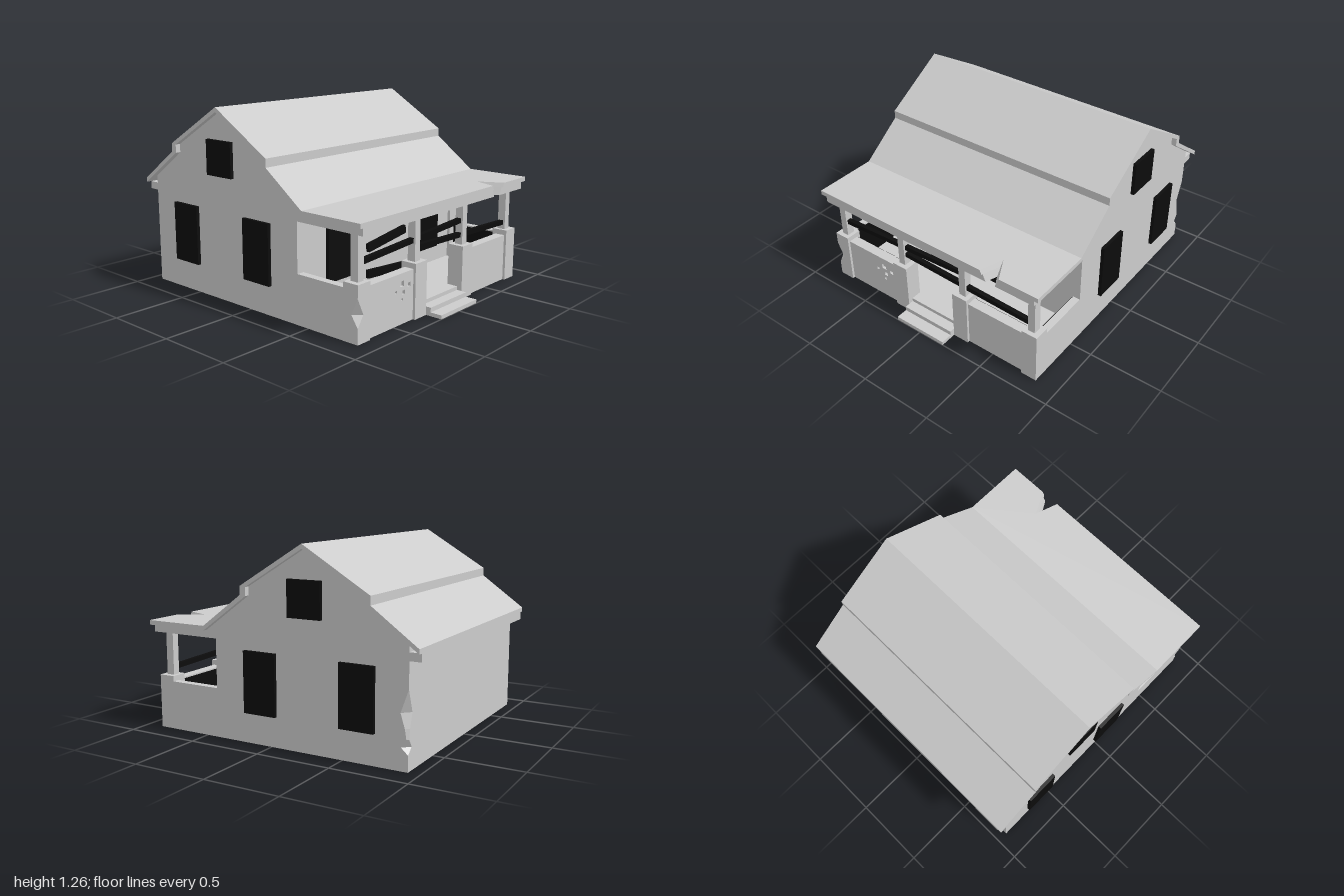
import * as THREE from 'three';

const grey = new THREE.MeshStandardMaterial({ color: 0xcccccc, flatShading: true, side: THREE.DoubleSide });
const black = new THREE.MeshStandardMaterial({ color: 0x0c0c0c, flatShading: true });

export function createModel() {
  const house = new THREE.Group();
  house.name = 'abandonedHouse';

  const add = (name, geometry, material = grey) => {
    const mesh = new THREE.Mesh(geometry, material);
    mesh.name = name;
    house.add(mesh);
    return mesh;
  };
  // Box given by its limits on each axis
  const box = (name, [x0, x1], [y0, y1], [z0, z1], material) => {
    const mesh = add(name, new THREE.BoxGeometry(x1 - x0, y1 - y0, z1 - z0), material);
    mesh.position.set((x0 + x1) / 2, (y0 + y1) / 2, (z0 + z1) / 2);
    return mesh;
  };
  const shapeOf = (pts) => new THREE.Shape(pts.map(([a, b]) => new THREE.Vector2(a, b)));
  // Shape drawn in (z, y), to be turned to face along x
  const sideShape = (pts) => shapeOf(pts.map(([z, y]) => [-z, y]));
  // Quads between successive rings, with an optional top cap
  const loft = (rings, closed) => {
    const pos = [];
    const n = rings[0].length;
    for (let r = 0; r + 1 < rings.length; r++) {
      for (let i = 0; i < (closed ? n : n - 1); i++) {
        const j = (i + 1) % n;
        const a = rings[r][i], b = rings[r][j], c = rings[r + 1][j], d = rings[r + 1][i];
        pos.push(...a, ...b, ...c, ...a, ...c, ...d);
      }
    }
    const top = rings[rings.length - 1];
    if (closed) for (let i = 1; i + 1 < n; i++) pos.push(...top[0], ...top[i], ...top[i + 1]);
    const g = new THREE.BufferGeometry();
    g.setAttribute('position', new THREE.Float32BufferAttribute(pos, 3));
    g.computeVertexNormals();
    return g;
  };

  // House walls, hollow and open below, with a crumbled rear corner
  const W = 0.845, BACK = -0.925, FRONT = 0.415;
  const chips = [[0.1, 0], [0.14, 0.045], [0.19, 0.012], [0.25, 0.022], [0.34, 0.05], [0.48, 0]];
  const gableTop = [[0.485, 0.69], [0.155, 0.93], [0.155, 0.985], [-0.25, 1.23],
    [-0.66, 0.985], [-0.66, 0.93], [BACK, 0.74]];
  const gable = (edge) => new THREE.ShapeGeometry(sideShape(
    [[BACK, 0], ...edge, [FRONT, 0.69], ...gableTop].length ?
      [[FRONT, 0], [FRONT, 0.69], ...gableTop, ...edge, [BACK, 0]] : [])).rotateY(Math.PI / 2);
  add('leftGableWall', gable(chips.map(([y, c]) => [BACK + c, y]).reverse())).position.x = W;
  add('rightGableWall', gable([])).position.x = -W;
  add('backWall', new THREE.ShapeGeometry(shapeOf(
    [[-W, 0], [W, 0], ...chips.map(([y, c]) => [W - c, y]), [W, 0.74], [-W, 0.74]]))).position.z = BACK;
  add('brokenCorner', loft(chips.map(([y, c]) => [[W, y, BACK + c], [W - c, y, BACK]]), false));
  add('frontWall', new THREE.PlaneGeometry(2 * W, 0.73)).position.set(0, 0.365, 0.395);

  // Stepped gable roof
  const roof = [[0.485, 0.72], [0.195, 0.935], [0.195, 0.99], [-0.25, 1.26], [-0.7, 0.99], [-0.7, 0.935],
    [-1, 0.72], [-1, 0.69], [-0.66, 0.93], [-0.66, 0.985], [-0.25, 1.23],
    [0.155, 0.985], [0.155, 0.93], [0.485, 0.69]];
  add('mainRoof', new THREE.ExtrudeGeometry(sideShape(roof), { depth: 1.76, bevelEnabled: false })
    .rotateY(Math.PI / 2).translate(-0.88, 0, 0));
  box('rearSoffit', [-W, W], [0.64, 0.69], [-1, BACK]);

  // Flat porch roof and ceiling, with a tapering bite out of the front edge
  const porchSlab = (name, halfWidth, z0, z1, y0, y1, taper) => {
    const plan = shapeOf([[-halfWidth, -z1], [0.462, -z1], [0.517, -0.77], [0.602, -z1],
      [halfWidth, -z1], [halfWidth, -z0], [-halfWidth, -z0]]);
    const g = new THREE.ExtrudeGeometry(plan, { depth: y1 - y0, bevelEnabled: false })
      .rotateX(-Math.PI / 2).translate(0, y0, 0);
    const p = g.attributes.position;
    for (let i = 0; i < p.count; i++) {
      const x = p.getX(i), z = p.getZ(i);
      if (Math.abs(x - 0.53) > 0.08 || z < 0.7) continue;
      const f = p.getY(i) > (y0 + y1) / 2 ? taper[1] : taper[0];
      p.setX(i, 0.53 + (x - 0.53) * f);
      p.setZ(i, z1 - (z1 - z) * f);
    }
    g.computeVertexNormals();
    add(name, g);
  };
  porchSlab('porchRoof', 0.88, 0.485, 0.93, 0.69, 0.72, [0.8, 1]);
  porchSlab('porchCeiling', W, FRONT, 0.92, 0.64, 0.69, [0.5, 0.8]);

  // Porch floor and steps
  box('porchFloor', [-0.76, 0.76], [0.055, 0.08], [0.395, 0.8]);
  [[0.025, 0.92, 1], [0.055, 0.85, 0.92], [0.08, 0.78, 0.85]].forEach(([h, z0, z1]) =>
    box('step', [-0.195, 0.195], [0, h], [z0, z1]));

  // Parapets, pillars, posts and side windows, mirrored
  for (const s of [-1, 1]) {
    const span = (a, b) => (s > 0 ? [a, b] : [-b, -a]);
    box('cornerPilaster', span(0.735, W), [0, 0.69], [0.36, FRONT]);
    box('sideParapet', span(0.795, W), [0, 0.32], [FRONT, 0.775]);
    box('sideParapetLining', span(0.785, 0.795), [0.04, 0.31], [FRONT, 0.79], black);
    box('frontParapet', span(0.305, 0.735), [0, 0.32], [0.8, 0.85]);
    box('frontParapetLining', span(0.305, 0.785), [0.04, 0.31], [0.79, 0.8], black);
    box('innerPillar', span(0.195, 0.31), [0, 0.355], [0.775, 0.885]);
    box('innerPost', span(0.23, 0.28), [0.355, 0.64], [0.8, 0.855]);
    box('outerPost', span(0.76, 0.81), [0.355, 0.64], [0.8, 0.855]);
    box('frontWindow', span(0.345, 0.575), [0.195, 0.59], [0.39, 0.42], black);
    for (const [y0, y1, z0, z1] of [[0.195, 0.59, -0.04, 0.19], [0.195, 0.59, -0.715, -0.485],
      [0.82, 1.05, -0.365, -0.135]]) {
      box('sideWindow', span(0.835, 0.868), [y0, y1], [z0, z1], black);
    }
  }
  box('outerPillar', [0.735, W], [0, 0.355], [0.775, 0.885]);

  // Outer pillar with a chipped front corner
  const levels = [[0, 0.001], [0.1, 0.001], [0.17, 0.048], [0.27, 0.001], [0.355, 0.001]];
  add('chippedPillar', loft(levels.map(([y, c]) => [[-W + c, y, 0.885], [-0.735, y, 0.885],
    [-0.735, y, 0.775], [-W, y, 0.775], [-W, y, 0.885 - c]]), true));

  // Outer skins of the front parapets, the right one pitted
  for (const s of [-1, 1]) {
    const skin = shapeOf([[0.305 * s, 0], [0.735 * s, 0], [0.735 * s, 0.32], [0.305 * s, 0.32]]);
    if (s < 0) {
      for (const [x, y, r] of [[-0.42, 0.253, 0.019], [-0.353, 0.234, 0.014], [-0.406, 0.197, 0.014],
        [-0.477, 0.214, 0.01], [-0.417, 0.154, 0.009]]) {
        skin.holes.push(new THREE.Path([[-1, -0.8], [-0.9, 0.9], [0.9, 1], [1, -0.9]]
          .map(([a, b]) => new THREE.Vector2(x + a * r, y + b * r))));
      }
    }
    add('parapetSkin', new THREE.ExtrudeGeometry(skin, { depth: 0.018, bevelEnabled: false })).position.z = 0.85;
  }

  // Loose boards across the porch and the doorway
  for (const [x0, y0, x1, y1, t, z] of [[-0.76, 0.46, 0.225, 0.515, 0.032, 0.828],
    [-0.23, 0.434, 0.755, 0.402, 0.032, 0.828],
    [-0.19, 0.337, 0.2, 0.392, 0.055, 0.405], [-0.19, 0.16, 0.2, 0.132, 0.055, 0.405]]) {
    const board = add('board', new THREE.BoxGeometry(Math.hypot(x1 - x0, y1 - y0), t, 0.03), black);
    board.position.set((x0 + x1) / 2, (y0 + y1) / 2, z);
    board.rotation.z = Math.atan2(y1 - y0, x1 - x0);
  }
  return house;
}
